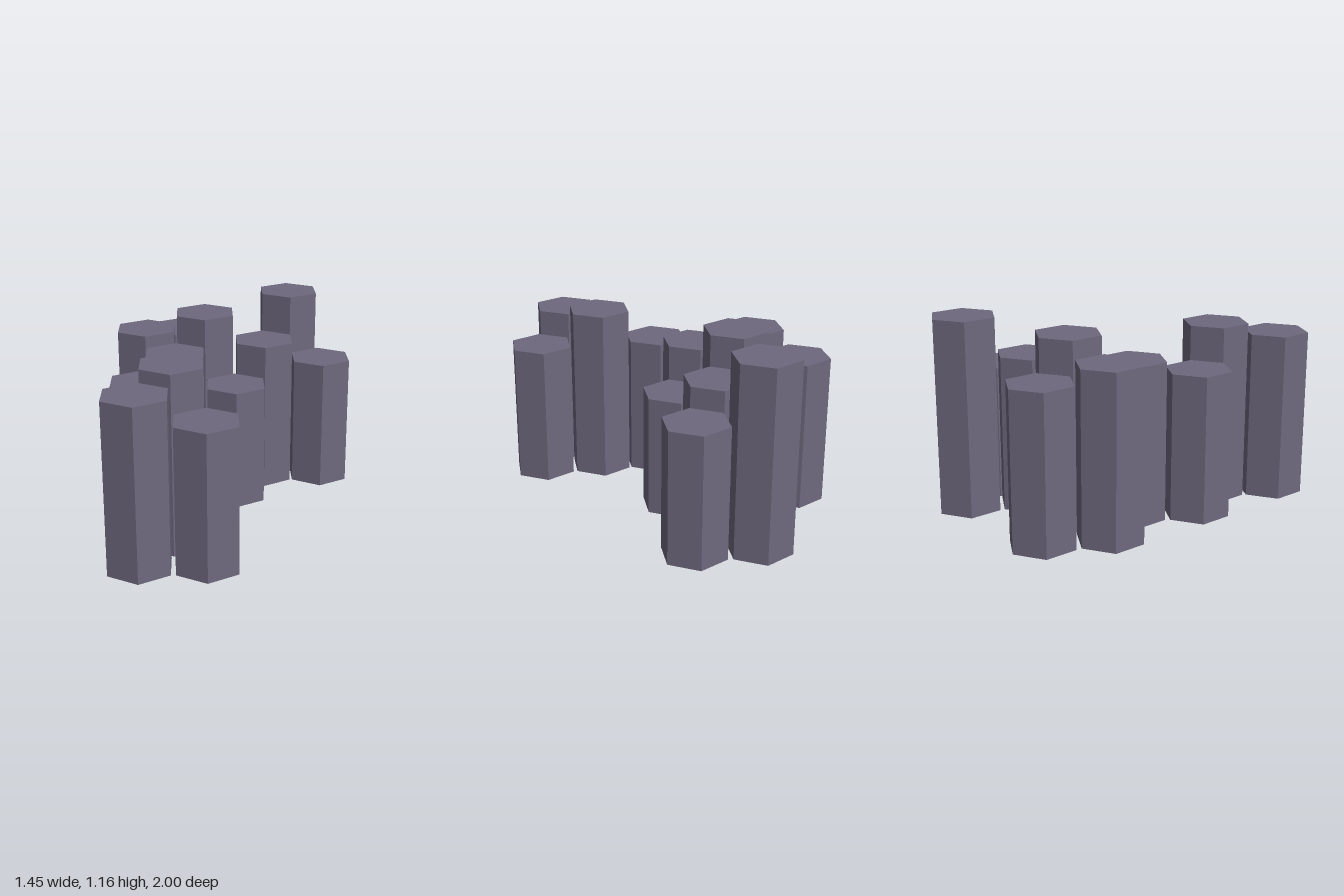
import * as THREE from 'three';

// Cluster of upright hexagonal stone columns with narrow gaps between them
export function createModel() {
  const group = new THREE.Group();
  group.name = 'hexagonalColumns';
  const stone = new THREE.MeshStandardMaterial({ color: 0x6e687e, flatShading: true });
  stone.name = 'purpleGreyStone';

  const radius = 0.199;
  // x, z, height of each column, back to front
  const columns = [
    [-0.37, -0.80, 0.92], [0.365, -0.80, 1.16],
    [-0.545, -0.467, 1.006], [-0.18, -0.467, 1.106], [0.19, -0.473, 0.925], [0.55, -0.473, 0.805],
    [-0.363, -0.15, 0.94], [0.003, -0.157, 0.736],
    [-0.553, 0.174, 0.87],
    [-0.368, 0.482, 1.07],
    [-0.553, 0.80, 1.003], [-0.181, 0.80, 0.856],
  ];

  columns.forEach(([x, z, height], i) => {
    // six sides, with corners pointing to front and back
    const column = new THREE.Mesh(new THREE.CylinderGeometry(radius, radius, height, 6), stone);
    column.position.set(x, height / 2, z);
    column.name = `column${i + 1}`;
    group.add(column);
  });
  return group;
}
